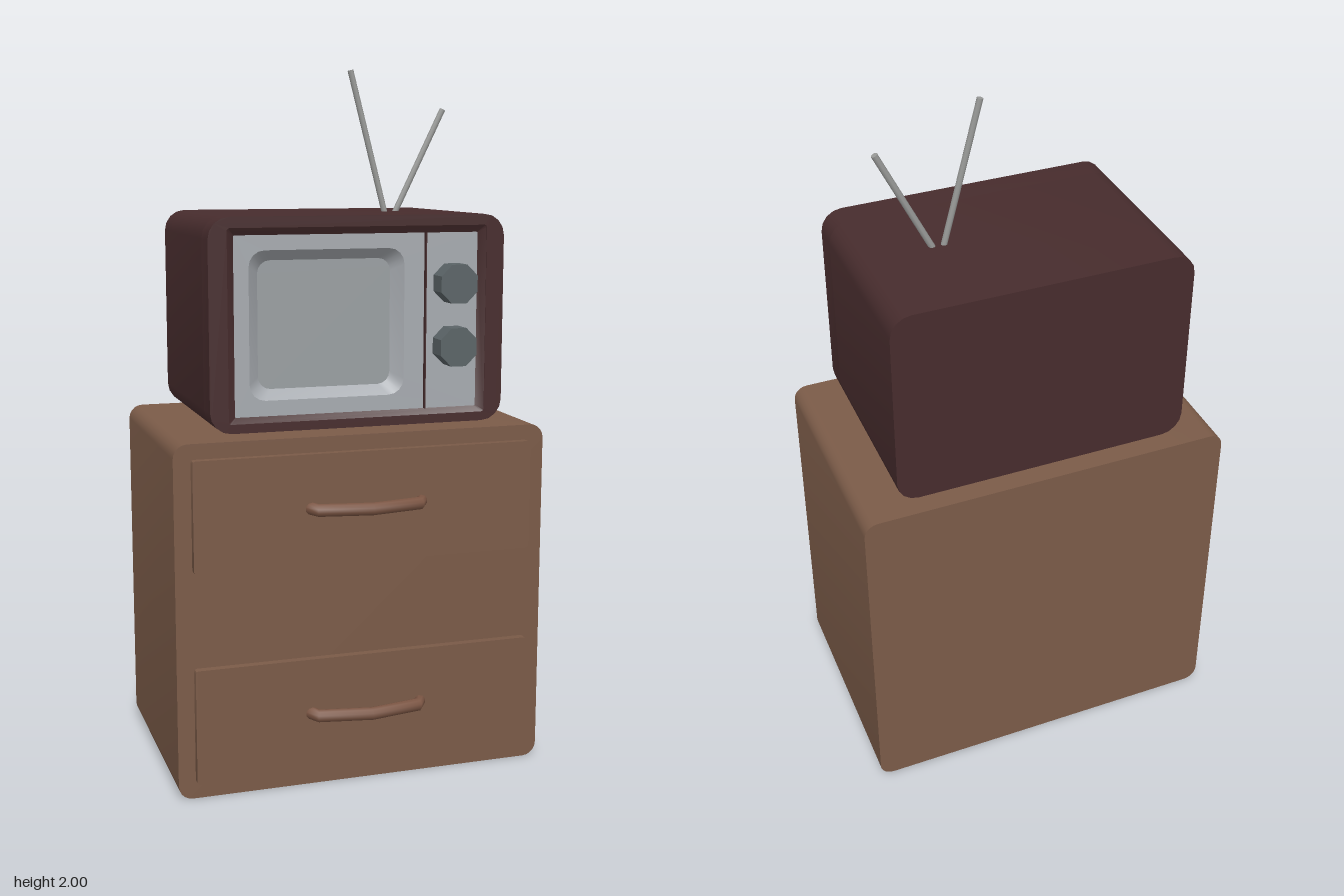
import * as THREE from 'three';
import { toCreasedNormals } from 'three/addons/utils/BufferGeometryUtils.js';

const material = (name, color, side = THREE.FrontSide) =>
  new THREE.MeshStandardMaterial({ name, color, side });

// Counter-clockwise outline of a rounded rectangle, n steps per corner
function outline(x0, x1, y0, y1, r, n = 4) {
  const corners = [[x1 - r, y0 + r, -1], [x1 - r, y1 - r, 0], [x0 + r, y1 - r, 1], [x0 + r, y0 + r, 2]];
  return corners.flatMap(([cx, cy, q]) => Array.from({ length: n + 1 }, (_, i) => {
    const a = (q + i / n) * Math.PI / 2;
    return new THREE.Vector2(cx + r * Math.cos(a), cy + r * Math.sin(a));
  }));
}

// Prism between z0 and z1, with optional holes
function prism(points, z0, z1, holes = []) {
  const shape = new THREE.Shape(points);
  holes.forEach((h) => shape.holes.push(new THREE.Path(h)));
  const g = new THREE.ExtrudeGeometry(shape, { depth: z1 - z0, bevelEnabled: false });
  return toCreasedNormals(g.translate(0, 0, z0), 0.7);
}

// Sloping band joining two outlines with equal point counts
function band(outer, zOuter, inner, zInner) {
  const pos = [];
  outer.forEach((a, i) => {
    const j = (i + 1) % outer.length;
    const A = [a.x, a.y, zOuter], B = [outer[j].x, outer[j].y, zOuter];
    const C = [inner[j].x, inner[j].y, zInner], D = [inner[i].x, inner[i].y, zInner];
    pos.push(...A, ...B, ...C, ...A, ...C, ...D);
  });
  const g = new THREE.BufferGeometry();
  g.setAttribute('position', new THREE.Float32BufferAttribute(pos, 3));
  g.computeVertexNormals();
  return toCreasedNormals(g, 0.6);
}

// Straight-segment path that keeps its bends sharp
class Polyline extends THREE.Curve {
  constructor(points) { super(); this.points = points; }
  getPoint(t, target = new THREE.Vector3()) {
    const n = this.points.length - 1;
    const i = Math.min(Math.floor(t * n), n - 1);
    return target.lerpVectors(this.points[i], this.points[i + 1], t * n - i);
  }
  getPointAt(u, target) { return this.getPoint(u, target); }
  getTangentAt(u, target) { return this.getTangent(u, target); }
}

export function createModel() {
  const wood = material('wood', 0x7b5b48);
  const handleWood = material('handle wood', 0x7b5543);
  const casing = material('dark casing', 0x472c2d, THREE.DoubleSide);
  const panelGrey = material('panel grey', 0xa7abb0, THREE.DoubleSide);
  const screenGrey = material('screen grey', 0x9a9fa2);
  const knobGrey = material('knob grey', 0x5b6467);
  const metal = material('antenna metal', 0x999a98);

  const model = new THREE.Group();
  const cabinet = new THREE.Group();
  cabinet.name = 'cabinet';
  const television = new THREE.Group();
  television.name = 'television';
  model.add(cabinet, television);
  const add = (parent, name, geometry, mat) => {
    const mesh = new THREE.Mesh(geometry, mat);
    mesh.name = name;
    parent.add(mesh);
    return mesh;
  };

  // Cabinet body, drawers and bent handles
  add(cabinet, 'cabinetBody', prism(outline(-0.538, 0.538, 0, 1, 0.04, 5), -0.385, 0.29), wood);
  const handlePath = new Polyline([[-0.162, 0.305], [-0.147, 0.336], [0, 0.363], [0.147, 0.336], [0.162, 0.305]]
    .map(([x, z]) => new THREE.Vector3(x, 0, z)));
  for (const [y0, y1, handleY] of [[0.047, 0.375, 0.217], [0.645, 0.957, 0.805]]) {
    add(cabinet, 'drawer', prism(outline(-0.49, 0.49, y0, y1, 0.008, 2), 0.28, 0.313), wood);
    add(cabinet, 'drawerHandle', new THREE.TubeGeometry(handlePath, 4, 0.018, 10), handleWood)
      .position.y = handleY;
  }

  // Television casing: solid back plus a hollow front
  const shell = outline(-0.425, 0.425, 1.012, 1.596, 0.06, 4);
  const opening = outline(-0.373, 0.373, 1.037, 1.566, 0.008);
  const panelEdge = outline(-0.352, 0.352, 1.053, 1.546, 0.004);
  add(television, 'casingBack', prism(shell, -0.337, 0.17), casing);
  add(television, 'casingFront', prism(shell, 0.17, 0.245, [opening]), casing);
  add(television, 'innerBezel', band(opening, 0.243, panelEdge, 0.228), casing);

  // Front panel with the sunken screen
  const screenRim = outline(-0.31, 0.135, 1.096, 1.505, 0.045);
  const screenEdge = outline(-0.278, 0.104, 1.123, 1.476, 0.035);
  const panelShape = new THREE.Shape(panelEdge);
  panelShape.holes.push(new THREE.Path(screenRim));
  add(television, 'frontPanel', new THREE.ShapeGeometry(panelShape).translate(0, 0, 0.228), panelGrey);
  add(television, 'screenBevel', band(screenRim, 0.228, screenEdge, 0.195), panelGrey);
  add(television, 'screen', new THREE.ShapeGeometry(new THREE.Shape(screenEdge)).translate(0, 0, 0.195), screenGrey);
  add(television, 'panelDivider', new THREE.BoxGeometry(0.003, 0.493, 0.014), casing)
    .position.set(0.195, 1.3, 0.234);

  // Octagonal knobs
  for (const y of [1.23, 1.406]) {
    const knob = new THREE.CylinderGeometry(0.058, 0.058, 0.064, 8).rotateY(Math.PI / 8).rotateX(Math.PI / 2);
    add(television, 'knob', toCreasedNormals(knob, 0.5), knobGrey).position.set(0.275, y, 0.258);
  }

  // Pair of antenna rods
  for (const [x0, x1, y1, z1] of [[0.182, 0.068, 1.998, -0.052], [0.182, 0.35, 1.89, -0.045]]) {
    const start = new THREE.Vector3(x0, 1.55, -0.043);
    const dir = new THREE.Vector3(x1, y1, z1).sub(start);
    const rod = add(television, 'antennaRod', new THREE.CylinderGeometry(0.009, 0.009, dir.length(), 8), metal);
    rod.position.copy(start).addScaledVector(dir, 0.5);
    rod.quaternion.setFromUnitVectors(new THREE.Vector3(0, 1, 0), dir.normalize());
  }
  return model;
}
